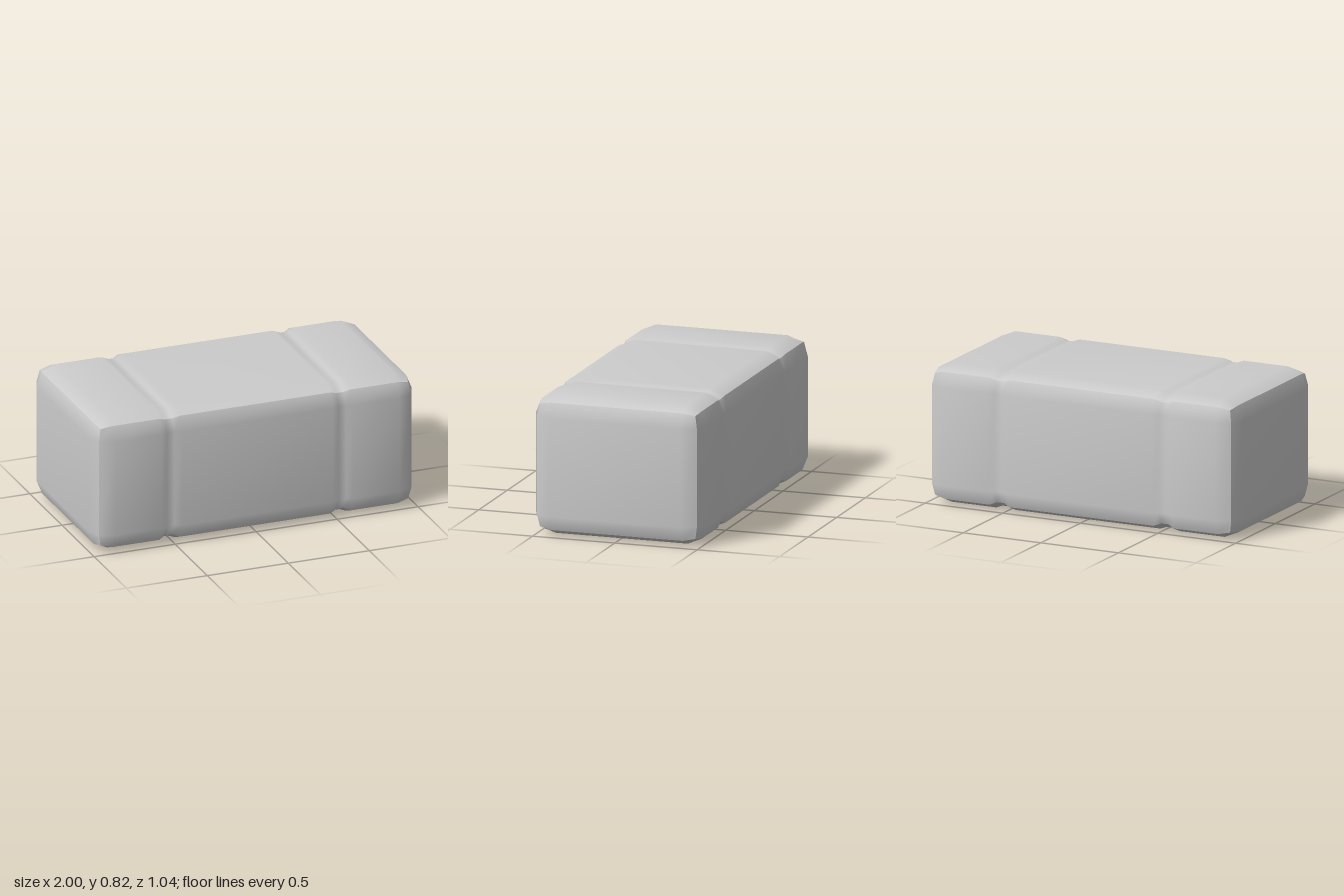
import * as THREE from 'three';

const HALF = [1, 0.4125, 0.522];          // half extents in x, y, z
const BORDER = 0.122;                     // width of the rounded rim on each face
const RIM_INSET = [0, 0, 0.036, 0.05];    // pull-in for face, edge and corner points
const GROOVE_DEPTH = 0.016;

// Full mirrored list of grid stations from its positive half
const mirror = (half) => [...half.map((v) => -v).reverse(), ...half];

const stations = [
  mirror([0.465, 0.507, 0.552, 0.592, HALF[0] - BORDER, HALF[0]]),
  mirror([HALF[1] - BORDER, HALF[1]]),
  mirror([HALF[2] - BORDER, HALF[2]]),
];

function createBlockGeometry() {
  const segments = stations.map((s) => s.length - 1);
  // Each side keeps its own vertices: smooth within a side, sharp between sides
  const geometry = new THREE.BoxGeometry(1, 1, 1, ...segments);
  const position = geometry.attributes.position;

  for (let i = 0; i < position.count; i++) {
    const grid = [position.getX(i), position.getY(i), position.getZ(i)];
    const index = grid.map((v, a) => Math.round((v + 0.5) * segments[a]));
    const outer = index.map((n, a) => n === 0 || n === segments[a]);
    const inset = RIM_INSET[outer.filter(Boolean).length];
    const x = Math.abs(stations[0][index[0]]);
    const groove = x > 0.49 && x < 0.57 ? GROOVE_DEPTH : 0;

    const p = index.map((n, a) => {
      const v = stations[a][n];
      const pull = (outer[a] ? inset : 0) + (a > 0 && outer[a] ? groove : 0);
      return v - Math.sign(v) * pull;
    });
    position.setXYZ(i, p[0], p[1] + HALF[1], p[2]);
  }
  geometry.computeVertexNormals();
  return geometry;
}

export function createModel() {
  const group = new THREE.Group();
  group.name = 'groovedBlock';

  // Chamfered block with two grooves running around it
  const block = new THREE.Mesh(
    createBlockGeometry(),
    new THREE.MeshStandardMaterial({ color: 0xcccccc }),
  );
  block.name = 'block';
  group.add(block);
  return group;
}
